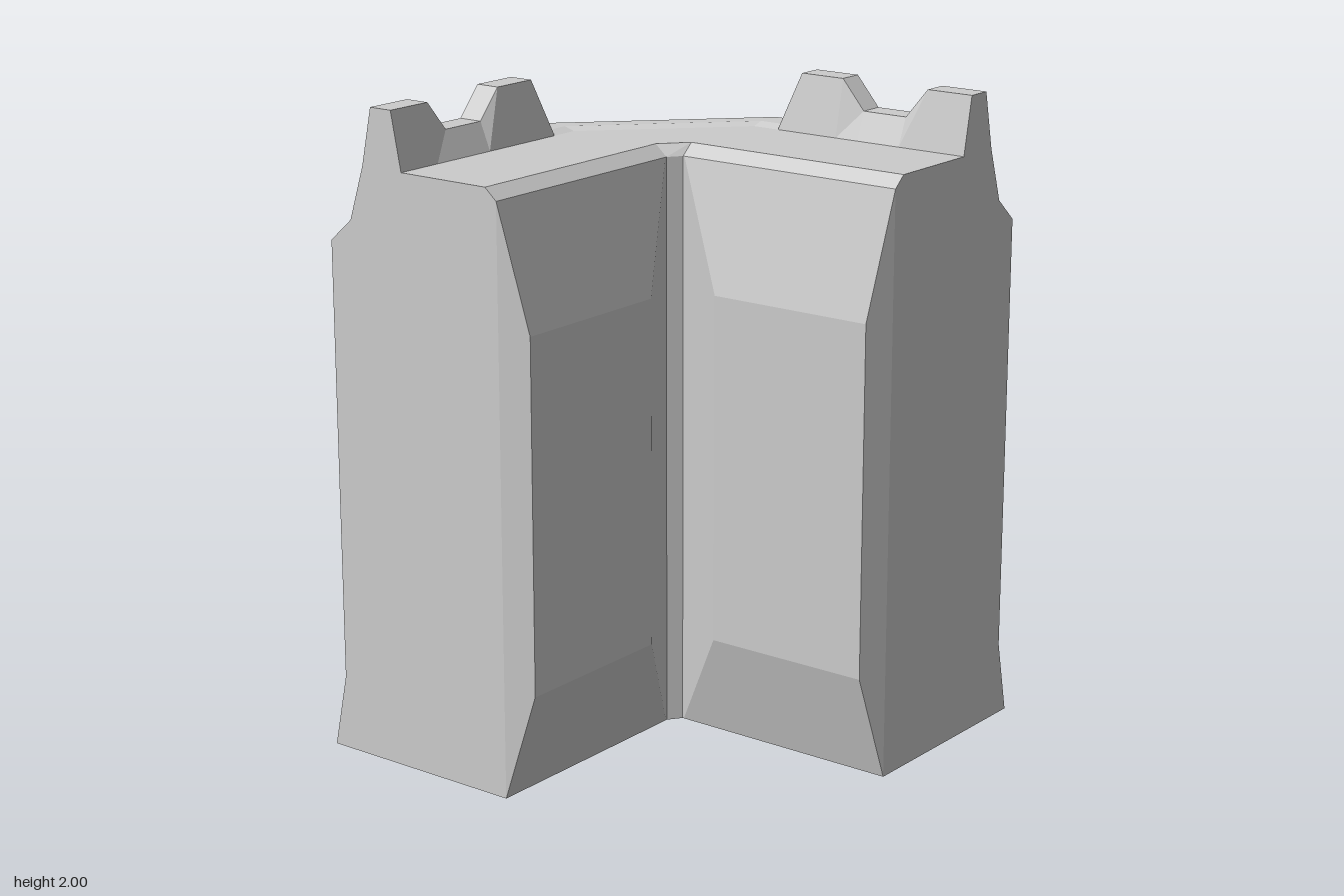
import * as THREE from 'three';

const material = new THREE.MeshStandardMaterial({ color: 0xcccccc, flatShading: true });

const LENGTH = 0.768; // length of each straight leg
const FACE = -0.03;   // inner wall face

// Place a cross-section point (p across the wall, y up) at distance s along a leg.
// Leg 0 runs towards +z, leg 1 towards +x.
function place(leg, s, [p, y]) {
  return leg === 0
    ? new THREE.Vector3(p, y, s)
    : new THREE.Vector3(s * 0.983, y, p - 0.012);
}

// Skin a list of { leg, s, ring } sections and cap both ends.
function loft(name, sections) {
  const rings = sections.map(({ leg, s, ring }) => ring.map((pt) => place(leg, s, pt)));
  const n = rings[0].length;
  const positions = [];
  const tri = (a, b, c) => {
    const area = b.clone().sub(a).cross(c.clone().sub(a)).length();
    if (area > 1e-7) for (const v of [a, b, c]) positions.push(v.x, v.y, v.z);
  };
  for (let i = 0; i < rings.length - 1; i++) {
    for (let j = 0; j < n; j++) {
      const k = (j + 1) % n;
      tri(rings[i][j], rings[i][k], rings[i + 1][j]);
      tri(rings[i][k], rings[i + 1][k], rings[i + 1][j]);
    }
  }
  const cap = (index, flip) => {
    const contour = sections[index].ring.map(([p, y]) => new THREE.Vector2(p, y)).reverse();
    if (Math.abs(THREE.ShapeUtils.area(contour)) < 1e-6) return;
    const pts = rings[index].slice().reverse();
    for (const [a, b, c] of THREE.ShapeUtils.triangulateShape(contour, [])) {
      if (flip) tri(pts[a], pts[c], pts[b]);
      else tri(pts[a], pts[b], pts[c]);
    }
  };
  cap(0, false);
  cap(rings.length - 1, true);

  const geometry = new THREE.BufferGeometry();
  geometry.setAttribute('position', new THREE.Float32BufferAttribute(positions, 3));
  geometry.computeVertexNormals();
  const mesh = new THREE.Mesh(geometry, material);
  mesh.name = name;
  return mesh;
}

// Sections on one leg, ordered so that both legs share the same winding.
function legLoft(name, leg, steps) {
  const sections = steps.map(([s, ring]) => ({ leg, s, ring }));
  if (leg === 0) sections.reverse();
  return loft(name, sections);
}

export function createModel() {
  const group = new THREE.Group();
  group.name = 'cornerWall';

  // Main wall: outer foot, coping, low lip, walkway, inner bevel
  const wall = [
    [-0.715, 0], [-0.667, 0.23], [-0.667, 1.59], [-0.588, 1.66],
    [-0.535, 1.825], [-0.5, 1.836], [-0.42, 1.836], [-0.385, 1.825],
    [-0.07, 1.825], [FACE, 1.79], [FACE, 0],
  ];
  group.add(loft('wallBody', [
    { leg: 0, s: LENGTH, ring: wall }, { leg: 0, s: 0, ring: wall },
    { leg: 1, s: 0, ring: wall }, { leg: 1, s: LENGTH, ring: wall },
  ]));

  // Raised belt on the outside, tapering flush at both ends
  const belt = [[-0.667, 0.555], [-0.757, 0.73], [-0.757, 1.08], [-0.667, 1.255]];
  const beltEnd = [belt[0], belt[0], belt[3], belt[3]];
  group.add(loft('outerBelt', [
    { leg: 0, s: LENGTH, ring: beltEnd }, { leg: 0, s: 0.655, ring: belt },
    { leg: 0, s: 0, ring: belt }, { leg: 1, s: 0, ring: belt },
    { leg: 1, s: 0.655, ring: belt }, { leg: 1, s: LENGTH, ring: beltEnd },
  ]));

  // Chamfered inner panel
  const panel = [[FACE, 0], [FACE, 1.79], [0.06, 1.41], [0.06, 0.33]];
  const panelEnd = [panel[0], panel[1], panel[1], panel[0]];

  // Battlement: cross-section tapers to a fixed top width at height h
  const merlon = (h) => [[-0.535, 1.825], [-0.498, h], [-0.42, h], [-0.385, 1.825]];
  const merlonStart = [[-0.535, 1.825], [-0.535, 1.83], [-0.385, 1.83], [-0.385, 1.825]];

  for (const leg of [0, 1]) {
    const side = leg === 0 ? 'right' : 'back';
    group.add(legLoft(`${side}InnerPanel`, leg, [
      [0.005, panelEnd], [0.19, panel], [0.736, panel], [LENGTH, panelEnd],
    ]));
    group.add(legLoft(`${side}Battlement`, leg, [
      [0.093, merlonStart], [0.155, merlon(2)], [0.307, merlon(2)], [0.385, merlon(1.91)],
      [0.537, merlon(1.91)], [0.613, merlon(2)], [LENGTH, merlon(2)],
    ]));
  }
  return group;
}
